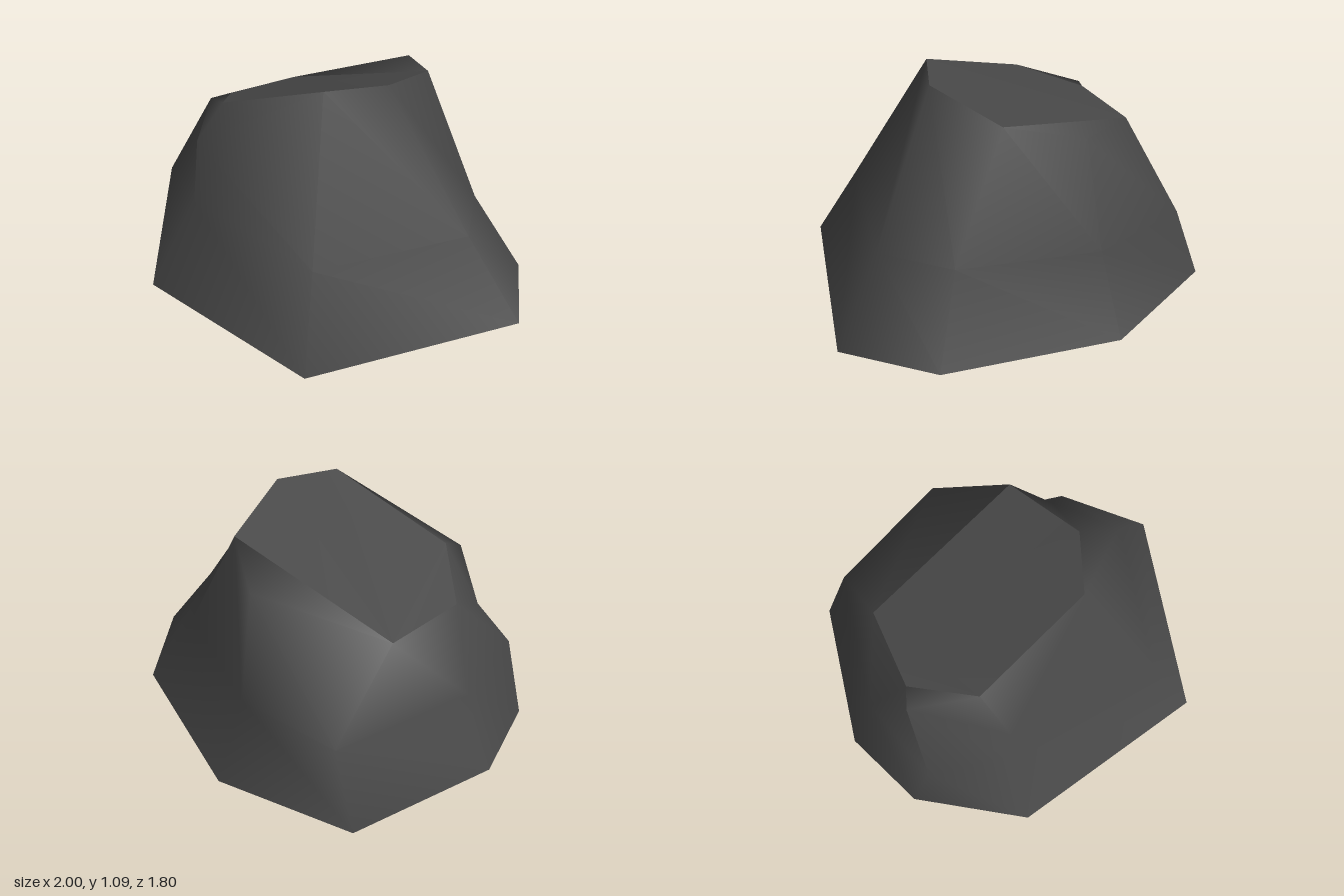
import * as THREE from 'three';

const stone = new THREE.MeshStandardMaterial({ color: 0x484848, side: THREE.DoubleSide });
stone.name = 'darkStone';

// Three rings of eight points [x, y, z], clockwise seen from above
const foot = [[-0.22, 0, -0.9], [0.64, 0, -0.74], [1, 0, -0.38], [0.74, 0, 0.68],
  [-0.31, 0, 0.9], [-0.82, 0, 0.57], [-1, 0, 0.15], [-0.87, 0, -0.61]];
const waist = [[-0.2, 0.4, -0.72], [0.47, 0.4, -0.55], [0.74, 0.4, -0.26], [0.56, 0.4, 0.51],
  [-0.3, 0.4, 0.64], [-0.7, 0.4, 0.56], [-0.84, 0.4, 0.12], [-0.72, 0.4, -0.59]];
const shoulder = [[-0.16, 0.95, -0.61], [0.18, 1.01, -0.45], [0.36, 1.09, -0.06], [0.25, 1.09, 0.23],
  [-0.28, 0.74, 0.61], [-0.68, 0.75, 0.31], [-0.64, 0.77, 0.21], [-0.65, 0.76, -0.2]];
const brow = [-0.35, 0.87, 0.42];

function surface(name, points, faces) {
  const geometry = new THREE.BufferGeometry();
  geometry.setAttribute('position', new THREE.Float32BufferAttribute(points.flat(), 3));
  geometry.setIndex(faces.flat());
  geometry.computeVertexNormals();
  const mesh = new THREE.Mesh(geometry, stone);
  mesh.name = name;
  return mesh;
}

export function createModel() {
  const group = new THREE.Group();
  group.name = 'rock';

  // Smooth sides, open underneath
  const n = foot.length;
  const sides = [];
  for (let ring = 0; ring < 2; ring++) {
    for (let i = 0; i < n; i++) {
      const a = ring * n + i;
      const b = ring * n + (i + 1) % n;
      sides.push([b, a, b + n], [a, a + n, b + n]);
    }
  }
  // Bevel below the brow at the front, and the sloping face at the back
  const s = 2 * n;
  const browIndex = 3 * n;
  for (let i = 3; i < 6; i++) sides.push([s + i + 1, s + i, browIndex]);
  sides.push([s + 7, s + 1, s]);
  group.add(surface('rockSides', [...foot, ...waist, ...shoulder, brow], sides));

  // Sloping top with a sharp rim
  const rim = [shoulder[7], shoulder[6], brow, shoulder[3], shoulder[2], shoulder[1]];
  const top = [];
  for (let i = 1; i < rim.length - 1; i++) top.push([0, i, i + 1]);
  group.add(surface('rockTop', rim, top));

  return group;
}
